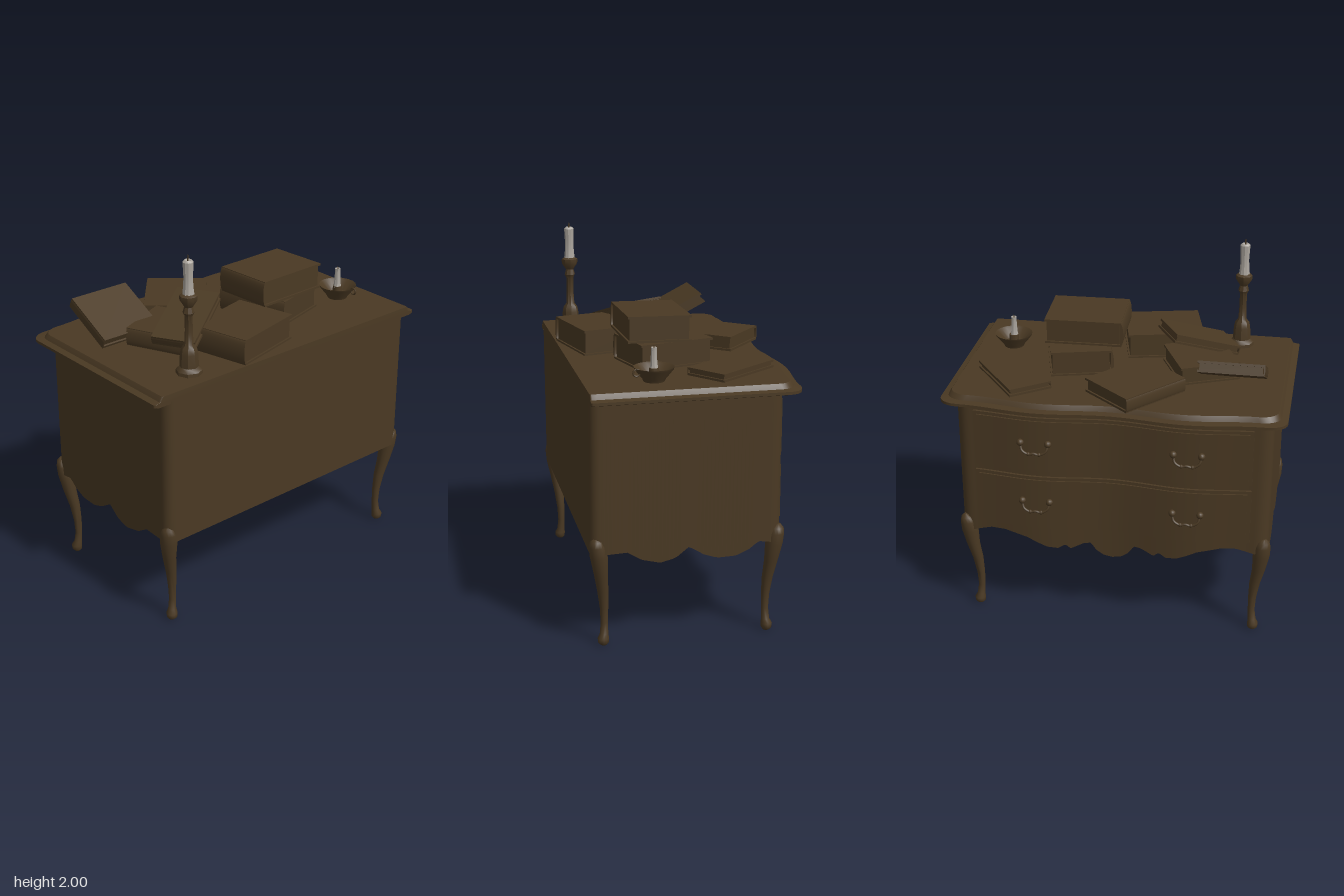
import * as THREE from 'three';
import { toCreasedNormals } from 'three/addons/utils/BufferGeometryUtils.js';

const wood = new THREE.MeshStandardMaterial({ color: 0x4a3923, side: THREE.DoubleSide });
wood.name = 'darkWood';
const wax = new THREE.MeshStandardMaterial({ color: 0xaaa49c, side: THREE.DoubleSide });
wax.name = 'wax';

function add(parent, name, geo, x = 0, y = 0, z = 0, mat = wood) {
  const m = new THREE.Mesh(geo, mat);
  m.name = name;
  m.position.set(x, y, z);
  parent.add(m);
  return m;
}

// Skin a list of closed loops of [x, y, z]; optional fan caps at both ends
function loft(loops, caps = true, crease = 0.6) {
  const n = loops[0].length, pos = loops.flat(2), idx = [];
  for (let k = 0; k < loops.length - 1; k++)
    for (let i = 0; i < n; i++) {
      const a = k * n + i, b = k * n + (i + 1) % n;
      idx.push(a, a + n, b, b, a + n, b + n);
    }
  if (caps) [0, loops.length - 1].forEach((k, e) => {
    const c = pos.length / 3;
    const mid = [0, 1, 2].map(j => loops[k].reduce((s, p) => s + p[j], 0) / n);
    pos.push(...mid);
    for (let i = 0; i < n; i++) {
      const a = k * n + i, b = k * n + (i + 1) % n;
      if (e) idx.push(c, b, a); else idx.push(c, a, b);
    }
  });
  const g = new THREE.BufferGeometry();
  g.setAttribute('position', new THREE.Float32BufferAttribute(pos, 3));
  g.setIndex(idx);
  return toCreasedNormals(g, crease);
}

function lookup(table, v) {
  for (let i = 1; i < table.length; i++) {
    const [a, ya] = table[i - 1], [b, yb] = table[i];
    if (v <= b) return ya + (yb - ya) * Math.max(0, (v - a) / (b - a));
  }
  return table[table.length - 1][1];
}

// Serpentine drawer side
const wave = x => Math.abs(x) > 0.8 ? 0 : Math.sin(Math.PI * x / 0.8) ** 2;
const bodyFront = x => -0.445 - 0.035 * wave(x);
const topFront = x => -0.535 - 0.035 * wave(x) - 0.01 * Math.cos(Math.PI * x / 1.7);

// Plan outline: wavy drawer side, rounded corners, straight sides and flat back
function outline(X, back, front, rx, rz, rb) {
  const half = [], xe = X - rx, ze = front(xe);
  for (let i = 0; i <= 70; i++) half.push([xe * i / 70, front(xe * i / 70)]);
  for (let i = 1; i <= 6; i++) {
    const a = i / 6 * Math.PI / 2;
    half.push([xe + rx * Math.sin(a), ze + rz * (1 - Math.cos(a))]);
  }
  const z0 = ze + rz, z1 = back - rb;
  for (let i = 1; i <= 45; i++) half.push([X, z0 + (z1 - z0) * i / 45]);
  for (let i = 1; i <= 5; i++) {
    const a = i / 5 * Math.PI / 2;
    half.push([X - rb + rb * Math.cos(a), z1 + rb * Math.sin(a)]);
  }
  half.push([0, back]);
  return half.concat(half.slice(1, -1).reverse().map(([x, z]) => [-x, z]));
}

// Scalloped apron heights
const frontApron = [[0, 0.42], [0.05, 0.43], [0.09, 0.46], [0.12, 0.505], [0.16, 0.5], [0.23, 0.465],
  [0.26, 0.49], [0.3, 0.465], [0.36, 0.47], [0.42, 0.495], [0.47, 0.52], [0.6, 0.55], [0.68, 0.55], [0.78, 0.52]];
const sideApron = [[-0.38, 0.52], [-0.32, 0.53], [-0.27, 0.49], [-0.2, 0.46], [-0.1, 0.457], [-0.03, 0.48],
  [0.05, 0.53], [0.12, 0.475], [0.2, 0.455], [0.3, 0.48], [0.37, 0.525], [0.5, 0.52]];

function bottomAt(x, z) {
  if (z > 0.5) return 0.52;
  return Math.abs(x) > 0.79 ? lookup(sideApron, z) : lookup(frontApron, Math.abs(x));
}

// Box whose faces follow the serpentine drawer side
function curvedPanel(w, h, d) {
  const g = new THREE.BoxGeometry(w, h, d, 36, 1, 1), p = g.attributes.position;
  for (let i = 0; i < p.count; i++) p.setZ(i, p.getZ(i) + bodyFront(p.getX(i)));
  return toCreasedNormals(g, 0.5);
}

function makeHandle() {
  const g = new THREE.Group();
  g.name = 'drawerHandle';
  const pts = [[-0.075, 0, 0], [-0.065, -0.035, -0.012], [-0.03, -0.055, -0.015], [0, -0.05, -0.015],
    [0.03, -0.055, -0.015], [0.065, -0.035, -0.012], [0.075, 0, 0]].map(p => new THREE.Vector3(...p));
  add(g, 'handleBail', new THREE.TubeGeometry(new THREE.CatmullRomCurve3(pts), 20, 0.007, 6));
  for (const s of [-1, 1]) {
    add(g, 'handleRosette', new THREE.SphereGeometry(0.02, 10, 8), s * 0.075, 0.005, 0);
    add(g, 'handleBead', new THREE.SphereGeometry(0.011, 8, 6), s * 0.03, -0.055, -0.013);
  }
  return g;
}

// Cabriole leg sections: y, x, z, radius
function makeLeg(sx, sz) {
  const rows = [[0, 0.785, 0.488, 0.018], [0.012, 0.785, 0.49, 0.028], [0.035, 0.786, 0.49, 0.03],
    [0.06, 0.78, 0.485, 0.022], [0.12, 0.774, 0.482, 0.019], [0.2, 0.776, 0.483, 0.022], [0.3, 0.786, 0.49, 0.029],
    [0.4, 0.805, 0.502, 0.036], [0.5, 0.816, 0.513, 0.046], [0.56, 0.822, 0.521, 0.043],
    [0.59, 0.826, 0.526, 0.033], [0.61, 0.828, 0.53, 0.012]];
  return loft(rows.map(([y, x, z, r]) => Array.from({ length: 14 }, (_, i) => {
    const a = i / 14 * Math.PI * 2;
    return [sx * (x + r * Math.cos(a)), y, 0.05 + sz * (z - 0.05 + r * Math.sin(a))];
  })), true, 1);
}

// Closed book: two covers, page block and rounded spine along -x
function makeBook(w, h, d) {
  const g = new THREE.Group(), t = 0.012;
  g.name = 'book';
  for (const s of [-1, 1]) add(g, 'bookCover', new THREE.BoxGeometry(w, t, d), 0, s * (h - t) / 2, 0);
  add(g, 'bookPages', new THREE.BoxGeometry(w - 0.02, h - 2 * t, d - 0.02), 0, 0, 0);
  const spine = new THREE.CylinderGeometry(h / 2, h / 2, d, 10, 1, false, Math.PI, Math.PI);
  spine.rotateX(Math.PI / 2);
  add(g, 'bookSpine', toCreasedNormals(spine, 0.7), -w / 2 + 0.005, 0, 0).scale.x = 0.25;
  return g;
}

const lathe = (profile, n) =>
  toCreasedNormals(new THREE.LatheGeometry(profile.map(p => new THREE.Vector2(...p)), n), 0.6);

export function createModel() {
  const root = new THREE.Group();
  root.name = 'dresserWithBooks';

  // Cabinet walls with scalloped lower edge, and floor
  const plan = outline(0.85, 0.56, bodyFront, 0.07, 0.06, 0.05);
  add(root, 'cabinetBody', loft([
    plan.map(([x, z]) => [x, bottomAt(x, z), z]),
    plan.map(([x, z]) => [x, 1.33, z])], false));
  add(root, 'cabinetFloor', loft([plan.map(([x, z]) => [x * 0.99, 0.555, z * 0.99]),
    plan.map(([x, z]) => [x * 0.99, 0.56, z * 0.99])]));

  // Stepped top, flush at the flat back
  const topPlan = outline(0.92, 0.556, topFront, 0.1, 0.08, 0.01);
  add(root, 'dresserTop', loft([[1.318, 0.02], [1.325, 0], [1.34, 0], [1.346, 0.035], [1.365, 0.045], [1.372, 0.05]]
    .map(([y, inset]) => topPlan.map(([x, z]) =>
      [x * (1 - inset / 0.92), y, z + inset * (0.556 - z) / 1.1])), true, 0.4));

  // Legs
  for (const sx of [-1, 1]) for (const sz of [-1, 1]) add(root, 'cabrioleLeg', makeLeg(sx, sz));

  // Drawers with raised fronts and handles
  for (const [y, h] of [[1.11, 0.32], [0.755, 0.32]]) {
    add(root, 'drawerFront', curvedPanel(1.5, h, 0.026), 0, y, 0);
    add(root, 'drawerPanel', curvedPanel(1.46, h - 0.035, 0.042), 0, y, 0);
    for (const s of [-1, 1]) {
      const handle = makeHandle();
      handle.position.set(s * 0.41, y + 0.01, bodyFront(0.41) - 0.024);
      root.add(handle);
    }
  }

  // Books: width, height, depth, centre x y z, turn, tilt about x, tilt about z
  for (const [w, h, d, x, y, z, turn, tx, tz] of [
    [0.42, 0.14, 0.34, -0.16, 1.44, 0.335, 0.23, 0, 0],
    [0.33, 0.1, 0.34, -0.41, 1.42, 0.04, 0.42, 0, 0],
    [0.4, 0.05, 0.24, -0.385, 1.52, 0.145, 0.52, 0, 0.33],
    [0.35, 0.06, 0.32, -0.605, 1.49, -0.19, 0, 0.47, 0],
    [0.337, 0.08, 0.405, -0.1, 1.415, -0.3, -0.71, 0, 0],
    [0.24, 0.042, 0.42, 0.57, 1.393, -0.235, 0.65, 0, 0],
    [0.33, 0.14, 0.42, 0.275, 1.44, 0.06, 0.26, 0, 0],
    [0.42, 0.14, 0.34, 0.235, 1.582, 0.12, 0.03, -0.02, 0]]) {
    const b = makeBook(w, h, d);
    b.position.set(x, y, z);
    b.rotation.set(-tx * -1, turn, tz, 'YXZ');
    root.add(b);
  }

  // Tall candlestick
  const stick = new THREE.Group();
  stick.name = 'tallCandlestick';
  stick.position.set(-0.595, 0, 0.425);
  root.add(stick);
  add(stick, 'candlestick', lathe([[0, 1.37], [0.07, 1.37], [0.068, 1.39], [0.05, 1.41], [0.046, 1.48], [0.04, 1.51],
    [0.024, 1.53], [0.02, 1.6], [0.02, 1.68], [0.03, 1.7], [0.022, 1.73], [0.045, 1.765], [0.046, 1.79],
    [0.03, 1.8], [0, 1.8]], 8));
  add(stick, 'tallCandle', lathe([[0.032, 1.79], [0.027, 1.83], [0.024, 1.88], [0.027, 1.94], [0.028, 1.965],
    [0.018, 1.975], [0, 1.965]], 10), 0, 0, 0, wax);
  add(stick, 'wick', new THREE.CylinderGeometry(0.003, 0.004, 0.04, 5), 0, 1.98, 0);

  // Dish candle holder with finger ring
  const dish = new THREE.Group();
  dish.name = 'dishCandleholder';
  dish.position.set(0.678, 0, 0.195);
  root.add(dish);
  add(dish, 'dish', lathe([[0, 1.372], [0.055, 1.372], [0.06, 1.385], [0.1, 1.435], [0.105, 1.447], [0.095, 1.44],
    [0.05, 1.395], [0.028, 1.395], [0.026, 1.44], [0, 1.44]], 18));
  const ring = add(dish, 'fingerRing', new THREE.TorusGeometry(0.018, 0.005, 6, 12), 0.03, 1.425, 0.095);
  ring.rotation.y = Math.PI / 2;
  add(dish, 'shortCandle', lathe([[0.024, 1.43], [0.018, 1.46], [0.015, 1.53], [0.016, 1.545], [0, 1.54]], 8),
    -0.003, 0, 0, wax);
  add(dish, 'shortWick', new THREE.CylinderGeometry(0.002, 0.003, 0.02, 5), -0.003, 1.547, 0);

  return root;
}
